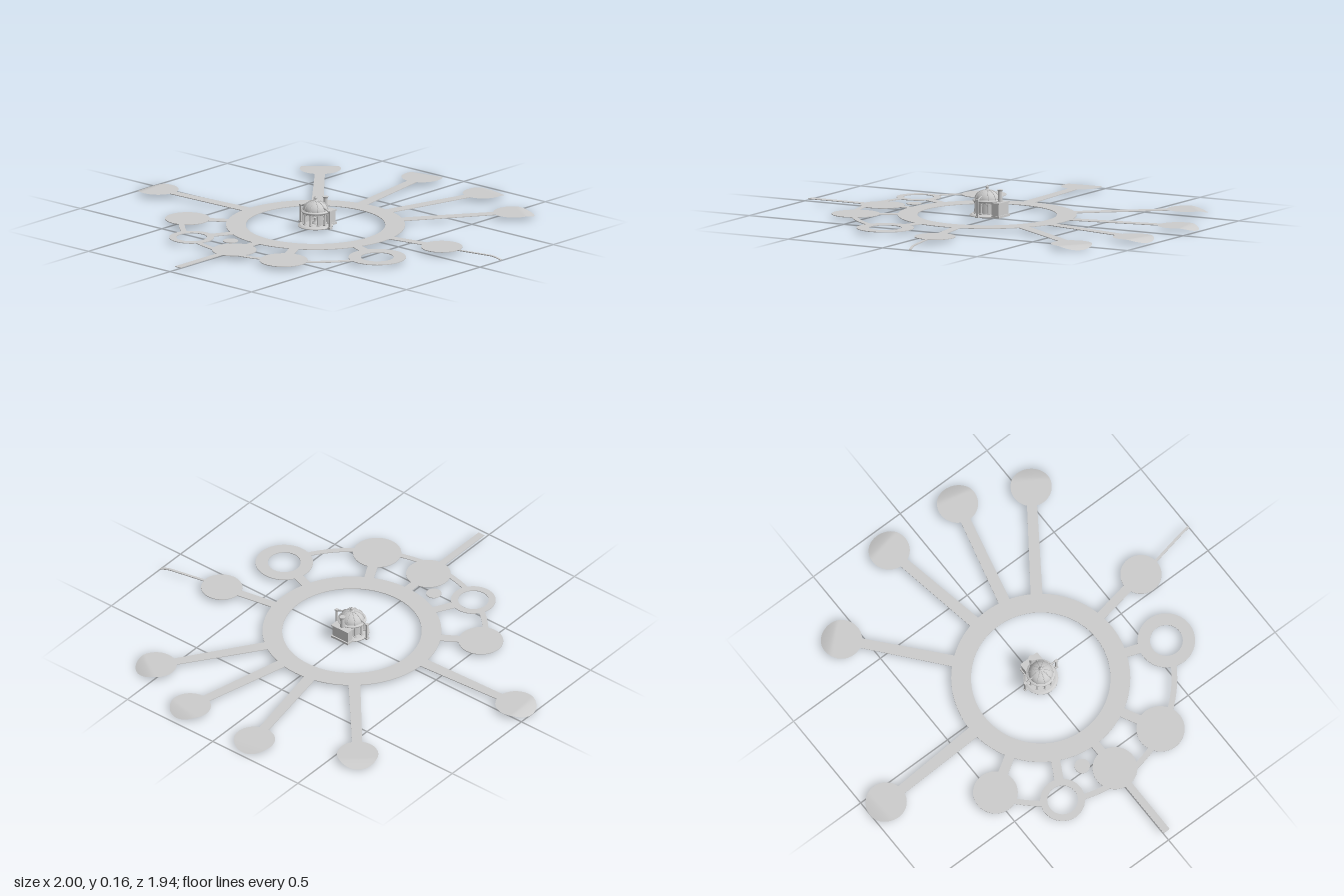
import * as THREE from 'three';

const CX = 0.016, CZ = 0.027; // hub of the plan
const TOP = 0.018, THICK = 0.003;

export function createModel() {
  const model = new THREE.Group();
  const stone = new THREE.MeshStandardMaterial({ color: 0xcccccc, side: THREE.DoubleSide });
  stone.name = 'paleStone';

  const add = (parent, name, geo, x = 0, y = 0, z = 0) => {
    const mesh = new THREE.Mesh(geo, stone);
    mesh.name = name;
    mesh.position.set(x, y, z);
    parent.add(mesh);
    return mesh;
  };

  // Flat plate from a shape drawn in (x, -z)
  const plate = (parent, name, shape, x = 0, z = 0) => {
    const geo = new THREE.ExtrudeGeometry(shape, { depth: THICK, bevelEnabled: false, curveSegments: 48 });
    geo.rotateX(-Math.PI / 2);
    return add(parent, name, geo, x, TOP - THICK, z);
  };
  const round = (r, hole = 0) => {
    const s = new THREE.Shape().absarc(0, 0, r, 0, Math.PI * 2);
    if (hole) s.holes.push(new THREE.Path().absarc(0, 0, hole, 0, Math.PI * 2, true));
    return s;
  };
  // Tapered strip along +x
  const strip = (x0, x1, w0, w1) => new THREE.Shape([
    new THREE.Vector2(x0, -w0 / 2), new THREE.Vector2(x1, -w1 / 2),
    new THREE.Vector2(x1, w1 / 2), new THREE.Vector2(x0, w0 / 2),
  ]);

  plate(model, 'mainRing', round(0.408, 0.318), CX, CZ);

  // Each island: x, z, radius, hole, spoke widths, drooping outer lip
  const islands = [
    [-0.152, -0.885, 0.094, 0, 0.054, 0.046, true],
    [0.233, -0.874, 0.094, 0, 0.054, 0.046, true],
    [0.548, -0.733, 0.094, 0, 0.054, 0.046, true],
    [-0.588, -0.676, 0.094, 0, 0.054, 0.046, true],
    [-0.909, 0.072, 0.094, 0, 0.058, 0.044, true],
    [0.684, -0.091, 0.094, 0, 0.042, 0.042, false],
    [0.58, 0.233, 0.131, 0.075, 0.045, 0.045, false],
    [-0.487, 0.34, 0.102, 0, 0.045, 0.045, false],
    [-0.267, 0.556, 0.102, 0.07, 0.042, 0.042, false],
    [0.016, 0.58, 0.102, 0, 0.042, 0.042, false],
    [0.297, 0.556, 0.11, 0, 0.045, 0.045, false],
  ];
  for (const [x, z, r, hole, w0, w1, droops] of islands) {
    const dist = Math.hypot(x - CX, z - CZ);
    const arm = new THREE.Group();
    arm.name = 'islandArm';
    arm.position.set(CX, 0, CZ);
    arm.rotation.y = Math.atan2(-(z - CZ), x - CX);
    model.add(arm);
    plate(arm, 'spoke', strip(0.395, dist - r + 0.012, w0, w1));
    if (!droops) {
      plate(arm, 'island', round(r, hole), dist);
      continue;
    }
    // Outer lip curves down to the ground
    const geo = new THREE.RingGeometry(0.0001, r, 48, 12).rotateX(-Math.PI / 2);
    const p = geo.attributes.position;
    for (let i = 0; i < p.count; i++) {
      const t = Math.max(0, (p.getX(i) - 0.035) / (r - 0.035));
      p.setY(i, -TOP * Math.pow(t, 1.4));
    }
    geo.computeVertexNormals();
    add(arm, 'droopingIsland', geo, dist, TOP, 0);
  }
  plate(model, 'smallIsland', round(0.035), -0.096, 0.481);

  // Curved walk joining the front islands, left open across the ring holes
  const walk = (a, b) => {
    const s = new THREE.Shape().absarc(0, 0, 0.622, -a, -b, true);
    s.absarc(0, 0, 0.596, -b, -a, false);
    plate(model, 'curvedWalk', s, CX, CZ);
  };
  for (const [a, b] of [[0.56, 1.05], [1.2, 1.5], [1.65, 1.93], [2.18, 2.5]]) walk(a, b);

  // Front pier and thin side gangway
  const pier = plate(model, 'frontPier', strip(0.62, 0.938, 0.034, 0.034), CX, CZ);
  pier.rotation.y = -Math.PI / 2;
  const gang = new THREE.BoxGeometry(0.235, 0.004, 0.012, 20, 1, 1);
  const gp = gang.attributes.position;
  for (let i = 0; i < gp.count; i++) {
    const t = Math.max(0, (gp.getX(i) - 0.055) / 0.0625);
    gp.setY(i, gp.getY(i) - 0.013 * t * t);
  }
  gang.computeVertexNormals();
  add(model, 'gangway', gang, 0.884, 0.016, -0.122).rotation.y = 0.195;

  // Domed pavilion at the hub
  const pavilion = new THREE.Group();
  pavilion.name = 'pavilion';
  pavilion.position.set(CX, 0, CZ);
  model.add(pavilion);
  const lathe = (name, pts, seg = 40) => add(pavilion, name,
    new THREE.LatheGeometry(pts.map(([x, y]) => new THREE.Vector2(x, y)), seg));
  lathe('steppedBase', [[0, 0.004], [0.045, 0.006], [0.08, 0.014], [0.08, 0.018], [0.07, 0.018],
    [0.07, 0.024], [0, 0.024]]);
  lathe('cornice', [[0.048, 0.078], [0.062, 0.078], [0.066, 0.083], [0.066, 0.087], [0.056, 0.09]]);
  const domePts = [];
  for (let i = 0; i <= 12; i++) {
    const a = (i / 12) * Math.PI / 2;
    domePts.push([0.057 * Math.cos(a), 0.087 + 0.045 * Math.sin(a)]);
  }
  lathe('dome', domePts);
  lathe('finial', [[0.011, 0.129], [0.011, 0.135], [0.005, 0.136], [0.005, 0.14], [0.009, 0.144],
    [0.006, 0.149], [0.002, 0.151], [0, 0.158]], 16);

  const N = 10;
  const ribCurve = new THREE.CatmullRomCurve3(domePts.map(([x, y]) => new THREE.Vector3(x + 0.001, y, 0)));
  for (let i = 0; i < N; i++) {
    const bay = new THREE.Group();
    bay.name = 'pavilionBay';
    bay.rotation.y = ((i + 0.5) / N) * Math.PI * 2 + Math.PI / 2;
    pavilion.add(bay);
    add(bay, 'domeRib', new THREE.TubeGeometry(ribCurve, 14, 0.0022, 6));
    add(bay, 'column', new THREE.CylinderGeometry(0.004, 0.0045, 0.056, 10), 0.056, 0.051, 0);
    add(bay, 'columnFoot', new THREE.BoxGeometry(0.012, 0.006, 0.012), 0.056, 0.026, 0);
    add(bay, 'columnCapital', new THREE.BoxGeometry(0.012, 0.005, 0.012), 0.056, 0.077, 0);
    // Arch towards the next column
    const arch = new THREE.Group();
    arch.name = 'archBay';
    arch.rotation.y = Math.PI / N;
    bay.add(arch);
    add(arch, 'arch', new THREE.TorusGeometry(0.014, 0.0025, 6, 14, Math.PI), 0.052, 0.062, 0)
      .rotation.y = Math.PI / 2;
  }
  // Partial inner wall, open to the front
  add(pavilion, 'innerWall', new THREE.CylinderGeometry(0.047, 0.047, 0.056, 30, 1, true,
    Math.PI * 0.3, Math.PI * 1.4), 0, 0.051, 0);
  lathe('pedestal', [[0.016, 0.024], [0.016, 0.03], [0.008, 0.034], [0.008, 0.05], [0.012, 0.053], [0, 0.056]], 16);

  // Side posts with braces to the dome
  for (const s of [-1, 1]) {
    add(pavilion, 'sidePost', new THREE.BoxGeometry(0.008, 0.08, 0.01), s * 0.089, 0.055, 0);
    add(pavilion, 'sidePostCap', new THREE.BoxGeometry(0.013, 0.006, 0.014), s * 0.089, 0.096, 0);
    add(pavilion, 'sidePostFoot', new THREE.BoxGeometry(0.016, 0.008, 0.016), s * 0.088, 0.018, 0);
    const brace = new THREE.QuadraticBezierCurve3(new THREE.Vector3(s * 0.09, 0.09, 0),
      new THREE.Vector3(s * 0.07, 0.102, 0), new THREE.Vector3(s * 0.046, 0.108, 0));
    add(pavilion, 'sideBrace', new THREE.TubeGeometry(brace, 8, 0.004, 6));
  }

  // Rear annex with its chimney
  add(pavilion, 'annexFloor', new THREE.BoxGeometry(0.1, 0.01, 0.055), 0, 0.017, -0.064);
  add(pavilion, 'annexWall', new THREE.BoxGeometry(0.09, 0.055, 0.035), 0, 0.048, -0.068);
  add(pavilion, 'annexRoof', new THREE.BoxGeometry(0.098, 0.006, 0.045), 0, 0.078, -0.068);
  add(pavilion, 'chimney', new THREE.CylinderGeometry(0.009, 0.011, 0.052, 14), 0, 0.106, -0.068);
  add(pavilion, 'chimneyCap', new THREE.CylinderGeometry(0.014, 0.011, 0.007, 14), 0, 0.134, -0.068);

  return model;
}
